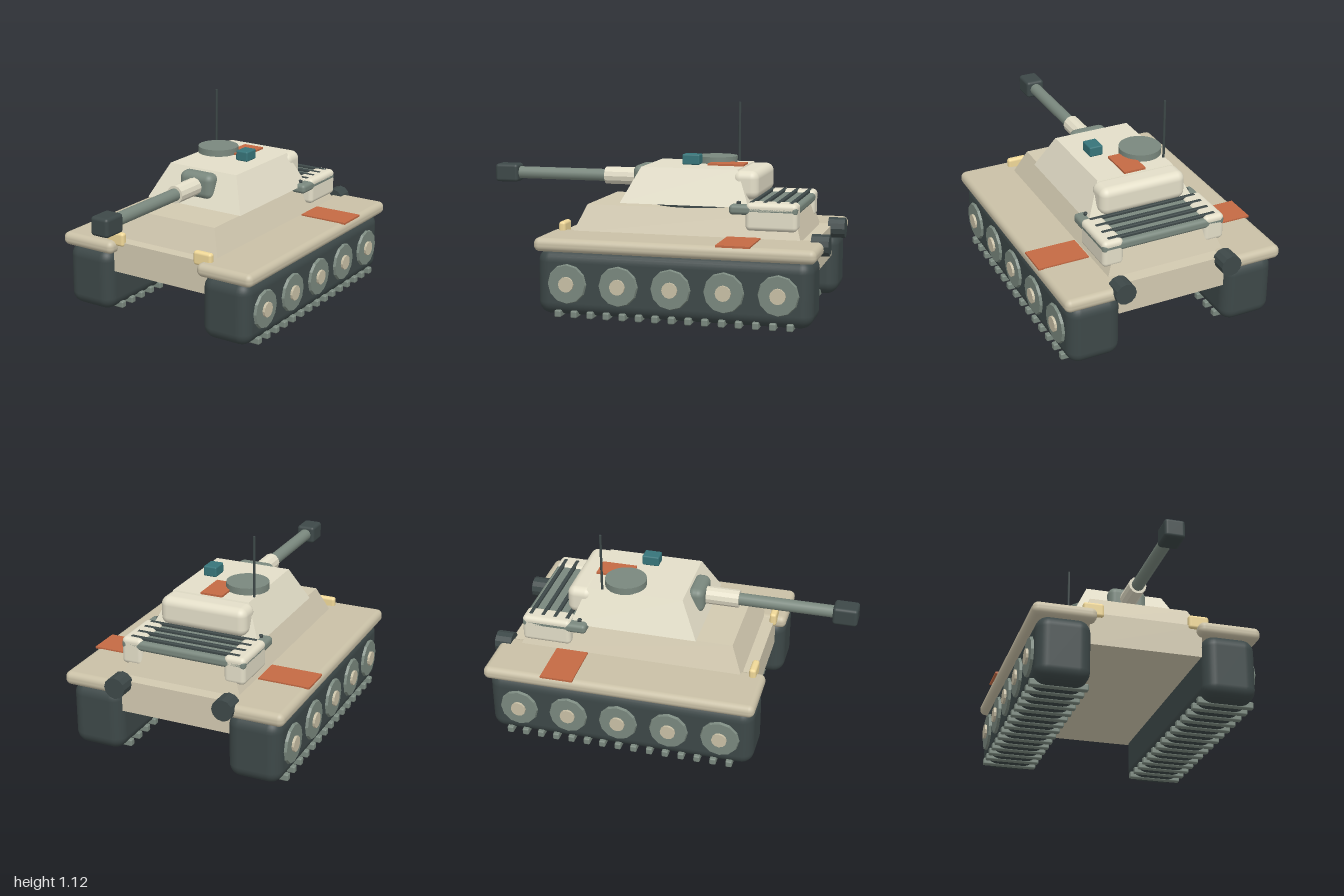
import * as THREE from 'three';
import { RoundedBoxGeometry } from 'three/addons/geometries/RoundedBoxGeometry.js';

const paint = (color, flatShading = false) => {
  const m = new THREE.MeshStandardMaterial({ flatShading });
  m.color.set(color);
  return m;
};
const SAND = 0xd2c9b0, CREAM = 0xe3dec8, FENDER = 0xc9c0a6, DARK = 0x3d4848, STEEL = 0x7a887e,
  ORANGE = 0xc46a44, TEAL = 0x37757a, YELLOW = 0xf0d898;

export function createModel() {
  const tank = new THREE.Group();
  tank.name = 'tank';

  function add(name, geometry, color, flat = false) {
    const mesh = new THREE.Mesh(geometry, paint(color, flat));
    mesh.name = name;
    tank.add(mesh);
    return mesh;
  }
  // Boxes are given by their lower and upper limits on each axis
  function box(name, color, [x0, x1], [y0, y1], [z0, z1], radius = 0) {
    const size = [x1 - x0, y1 - y0, z1 - z0];
    const g = radius ? new RoundedBoxGeometry(...size, 4, radius) : new THREE.BoxGeometry(...size);
    const mesh = add(name, g, color);
    mesh.position.set((x0 + x1) / 2, (y0 + y1) / 2, (z0 + z1) / 2);
    return mesh;
  }
  // Sloped block: each level is [y, half width, back z, front z]
  function slopedBlock(name, color, low, high) {
    const g = new THREE.BoxGeometry(2, 2, 2);
    const p = g.attributes.position;
    for (let i = 0; i < p.count; i++) {
      const [y, w, back, front] = p.getY(i) > 0 ? high : low;
      p.setXYZ(i, p.getX(i) * w, y, p.getZ(i) > 0 ? front : back);
    }
    return add(name, g, color, true);
  }
  // Cylinder along z between two depths
  function rod(name, color, radius, x, y, z0, z1, sides) {
    const g = new THREE.CylinderGeometry(radius, radius, z1 - z0, sides).rotateX(Math.PI / 2);
    const mesh = add(name, g, color, sides < 16);
    mesh.position.set(x, y, (z0 + z1) / 2);
    return mesh;
  }
  // Limits across x for the chosen side
  const span = (s, a, b) => (s > 0 ? [a, b] : [-b, -a]);

  // Hull
  box('lowerHull', SAND, [-0.31, 0.31], [0.245, 0.425], [-0.92, 0.49]);
  slopedBlock('upperHull', SAND, [0.42, 0.34, -0.85, 0.425], [0.575, 0.275, -0.8, 0.358]);

  // Turret
  const ring = add('turretRing', new THREE.CylinderGeometry(0.27, 0.27, 0.03, 32), DARK);
  ring.position.set(0, 0.583, -0.21);
  slopedBlock('turret', CREAM, [0.594, 0.312, -0.56, 0.16], [0.787, 0.222, -0.48, 0.063]);
  box('turretBustle', CREAM, [-0.25, 0.25], [0.625, 0.783], [-0.597, -0.45], 0.045);

  // Gun
  const gunY = 0.707;
  box('mantlet', STEEL, [-0.109, 0.109], [0.634, 0.782], [0.053, 0.15], 0.04);
  rod('barrelSleeve', CREAM, 0.05, 0, gunY, 0.12, 0.335, 12);
  rod('barrel', STEEL, 0.035, 0, gunY, 0.3, 0.88, 16);
  box('muzzleBrake', DARK, [-0.055, 0.055], [0.654, 0.758], [0.862, 1], 0.018);

  // Roof fittings
  const hatch = add('hatch', new THREE.CylinderGeometry(0.117, 0.117, 0.04, 24), STEEL);
  hatch.position.set(-0.128, 0.805, -0.285);
  const antenna = add('antenna', new THREE.CylinderGeometry(0.007, 0.007, 0.345, 8), DARK);
  antenna.position.set(-0.215, 0.953, -0.397);
  box('roofPanel', ORANGE, [-0.065, 0.061], [0.785, 0.798], [-0.477, -0.275]);
  box('periscope', TEAL, [0.078, 0.155], [0.798, 0.856], [-0.25, -0.153], 0.008);

  // Rear engine deck and its grille
  box('engineDeck', STEEL, [-0.355, 0.355], [0.56, 0.614], [-0.83, -0.46], 0.02);
  for (let i = 0; i < 5; i++) {
    const z = -0.79 + i * 0.071;
    box('grilleSlat', DARK, [-0.313, 0.313], [0.606, 0.629], [z - 0.011, z + 0.011], 0.005);
  }

  // Running gear and fittings, mirrored on both sides
  for (const s of [-1, 1]) {
    box('track', DARK, span(s, 0.305, 0.6), [0.01, 0.37], [-0.957, 0.545], 0.07);
    for (let i = 0; i < 15; i++) {
      const z = 0.42 - i * 0.0902;
      box('treadBar', STEEL, span(s, 0.297, 0.612), [0.003, 0.042], [z - 0.018, z + 0.018], 0.008);
    }
    for (let i = 0; i < 5; i++) {
      const z = 0.367 - i * 0.2868;
      const wheel = add('roadWheel', new THREE.CylinderGeometry(0.104, 0.117, 0.035, 12), STEEL, true);
      const hub = add('wheelHub', new THREE.CylinderGeometry(0.042, 0.042, 0.05, 12), FENDER, true);
      wheel.rotation.z = hub.rotation.z = -s * Math.PI / 2;
      wheel.position.set(s * 0.597, 0.187, z);
      hub.position.set(s * 0.603, 0.187, z);
    }
    box('fender', FENDER, span(s, 0.28, 0.627), [0.358, 0.433], [-0.975, 0.553], 0.033);
    box('fenderPanel', ORANGE, span(s, 0.345, 0.631), [0.43, 0.441], [-0.635, -0.452]);
    box('headlight', YELLOW, span(s, 0.234, 0.348), [0.403, 0.481], [0.466, 0.505], 0.015);
    box('engineSideBox', CREAM, span(s, 0.235, 0.355), [0.476, 0.626], [-0.83, -0.55], 0.025);
    rod('exhaust', DARK, 0.059, s * 0.308, 0.41, -1, -0.905, 12);
  }
  return tank;
}
